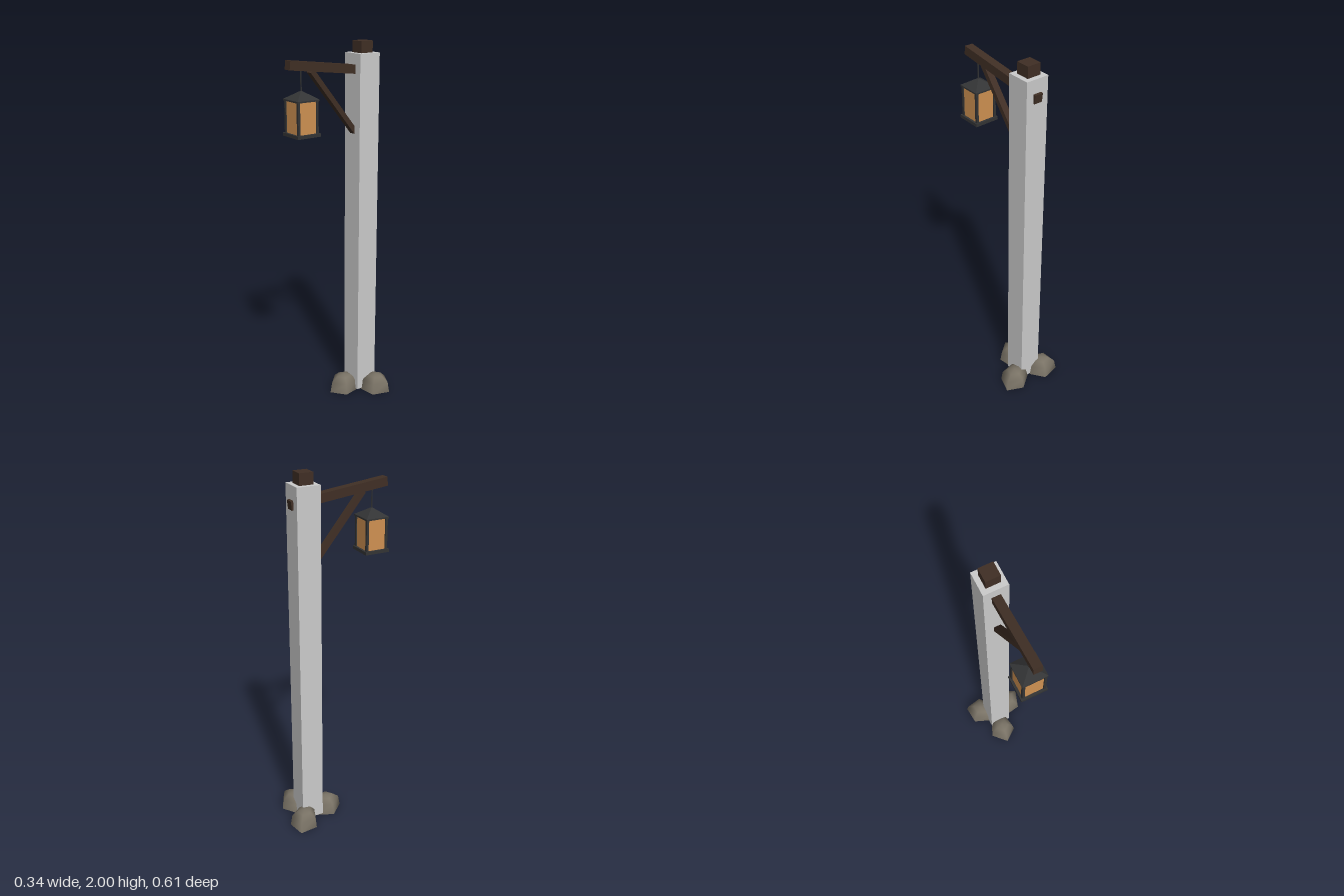
import * as THREE from 'three';

const mat = (name, color) => Object.assign(new THREE.MeshStandardMaterial({ color }), { name });

export function createModel() {
  const stone = mat('pale post', 0xcccccc);
  const wood = mat('dark wood', 0x402f25);
  const metal = mat('dark metal', 0x333435);
  const glass = mat('amber glass', 0xd09252);
  const rock = mat('grey rock', 0x7a7366);

  const model = new THREE.Group();
  model.name = 'lanternPost';
  const CX = -0.013, POST_Z = -0.163, LAMP_Z = 0.222;

  const add = (parent, name, geometry, material, x, y, z) => {
    const mesh = new THREE.Mesh(geometry, material);
    mesh.name = name;
    mesh.position.set(x, y, z);
    parent.add(mesh);
    return mesh;
  };
  const box = (parent, name, material, w, h, d, x, y, z) =>
    add(parent, name, new THREE.BoxGeometry(w, h, d), material, x, y, z);

  // Square bar between two (z, y) points in the plane of the bracket
  const bar = (name, width, thick, [z0, y0], [z1, y1]) => {
    const mesh = box(model, name, wood, width, thick, Math.hypot(z1 - z0, y1 - y0),
      CX, (y0 + y1) / 2, (z0 + z1) / 2);
    mesh.rotation.x = -Math.atan2(y1 - y0, z1 - z0);
  };

  // Post with the wooden core showing at the top
  box(model, 'post', stone, 0.127, 1.93, 0.127, CX, 0.975, POST_Z);
  box(model, 'postCap', wood, 0.075, 0.1, 0.075, CX, 1.95, POST_Z);

  // Bracket
  bar('beam', 0.045, 0.046, [-0.237, 1.844], [0.299, 1.907]);
  bar('brace', 0.036, 0.027, [-0.125, 1.514], [0.165, 1.871]);

  // Hanging lantern
  const lantern = new THREE.Group();
  lantern.name = 'lantern';
  lantern.position.set(CX, 0, LAMP_Z);
  model.add(lantern);
  add(lantern, 'hanger', new THREE.CylinderGeometry(0.004, 0.004, 0.125, 6), metal, 0, 1.83, 0);
  box(lantern, 'lanternBase', metal, 0.137, 0.017, 0.137, 0, 1.5585, 0);
  box(lantern, 'lanternGlass', glass, 0.112, 0.165, 0.112, 0, 1.6495, 0);
  for (const sx of [-1, 1]) for (const sz of [-1, 1])
    box(lantern, 'lanternCorner', metal, 0.013, 0.165, 0.013, sx * 0.055, 1.6495, sz * 0.055);
  box(lantern, 'lanternRim', metal, 0.13, 0.008, 0.13, 0, 1.732, 0);
  const roof = new THREE.CylinderGeometry(0.006, 0.13 * Math.SQRT1_2, 0.04, 4, 1).rotateY(Math.PI / 4);
  const roofGeometry = roof.toNonIndexed();
  roofGeometry.computeVertexNormals();
  add(lantern, 'lanternRoof', roofGeometry, metal, 0, 1.756, 0);

  // Rounded five-sided rocks: each outline (x, z) shrinks upward into a dome
  const rings = [[0, 1], [0.06, 0.88], [0.088, 0.5]];
  const outlines = [
    [[-0.173, -0.284], [-0.073, -0.304], [-0.015, -0.225], [-0.06, -0.14], [-0.164, -0.182]],
    [[0.082, -0.284], [0.172, -0.241], [0.14, -0.146], [0.04, -0.13], [0, -0.225]],
    [[-0.103, -0.04], [-0.065, -0.13], [0.03, -0.125], [0.048, -0.023], [-0.03, 0.037]],
  ];
  outlines.forEach((outline) => {
    const n = outline.length;
    const cx = outline.reduce((s, p) => s + p[0], 0) / n;
    const cz = outline.reduce((s, p) => s + p[1], 0) / n;
    const pos = [], index = [];
    for (const [y, s] of rings)
      for (const [x, z] of outline) pos.push((x - cx) * s, y, (z - cz) * s);
    const apex = rings.length * n;
    pos.push(0, 0.097, 0);
    // Separate bottom corners keep the lower edge sharp
    for (const [x, z] of outline) pos.push(x - cx, 0, z - cz);
    for (let i = 0; i < n; i++) {
      const j = (i + 1) % n;
      for (let r = 0; r < rings.length - 1; r++) {
        const a = r * n + i, b = r * n + j;
        index.push(b, a, a + n, b, a + n, b + n);
      }
      index.push(apex - n + j, apex - n + i, apex);
      if (i > 0 && i < n - 1) index.push(apex + 1, apex + 1 + i, apex + 1 + j);
    }
    const geometry = new THREE.BufferGeometry();
    geometry.setAttribute('position', new THREE.Float32BufferAttribute(pos, 3));
    geometry.setIndex(index);
    geometry.computeVertexNormals();
    add(model, 'rock', geometry, rock, cx, 0, cz);
  });

  return model;
}
